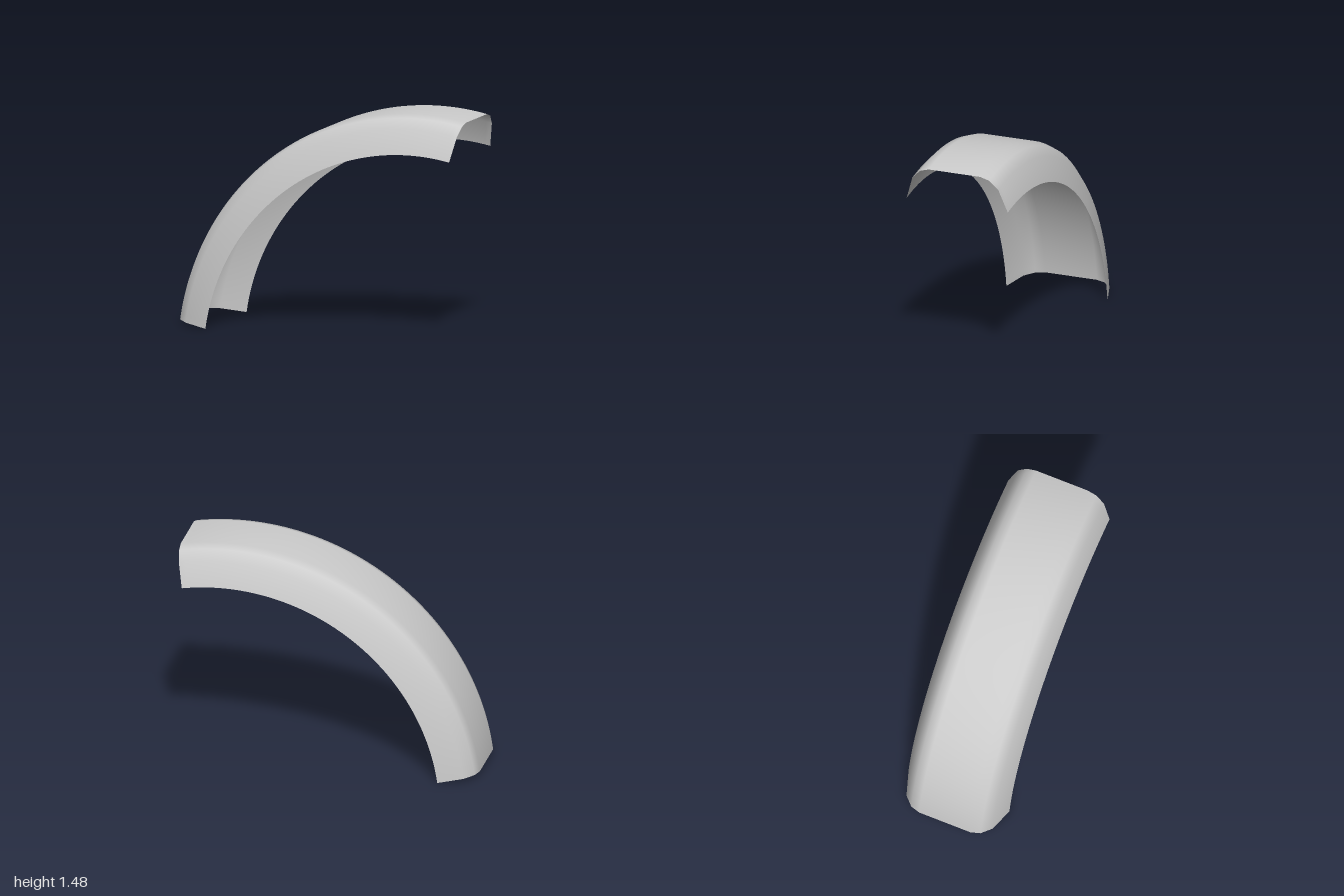
import * as THREE from 'three';

// Arc of the fender in the xy plane
const CENTER_X = 0.663, CENTER_Y = -0.2025, RADIUS = 1.68;
const START = Math.PI - 0.1416, END = 1.3688, STEPS = 64;

// Half cross-section: [z, depth below the crown], from the rim up to the crown
const HALF = [[0.355, 0.245], [0.302, 0.082], [0.243, 0.02], [0.18, 0]];

// Sweep the open channel section along the arc
function sweepChannel() {
  const section = [...HALF, ...HALF.map(([z, d]) => [-z, d]).reverse()];
  const n = section.length, positions = [], indices = [];
  for (let i = 0; i <= STEPS; i++) {
    const angle = THREE.MathUtils.lerp(START, END, i / STEPS);
    for (const [z, depth] of section) {
      const r = RADIUS - depth;
      positions.push(CENTER_X + r * Math.cos(angle), CENTER_Y + r * Math.sin(angle), z);
    }
  }
  for (let i = 0; i < STEPS; i++) {
    for (let j = 0; j < n - 1; j++) {
      const a = i * n + j, b = a + n;
      indices.push(a, b, a + 1, b, b + 1, a + 1);
    }
  }
  const geometry = new THREE.BufferGeometry();
  geometry.setAttribute('position', new THREE.Float32BufferAttribute(positions, 3));
  geometry.setIndex(indices);
  geometry.computeVertexNormals();
  return geometry;
}

export function createModel() {
  const group = new THREE.Group();
  group.name = 'wheelFender';

  const material = new THREE.MeshStandardMaterial({ color: 0xcccccc, side: THREE.DoubleSide });
  material.name = 'light grey';

  // Thin curved shell, open underneath and at both ends
  const shell = new THREE.Mesh(sweepChannel(), material);
  shell.name = 'fenderShell';
  group.add(shell);
  return group;
}
